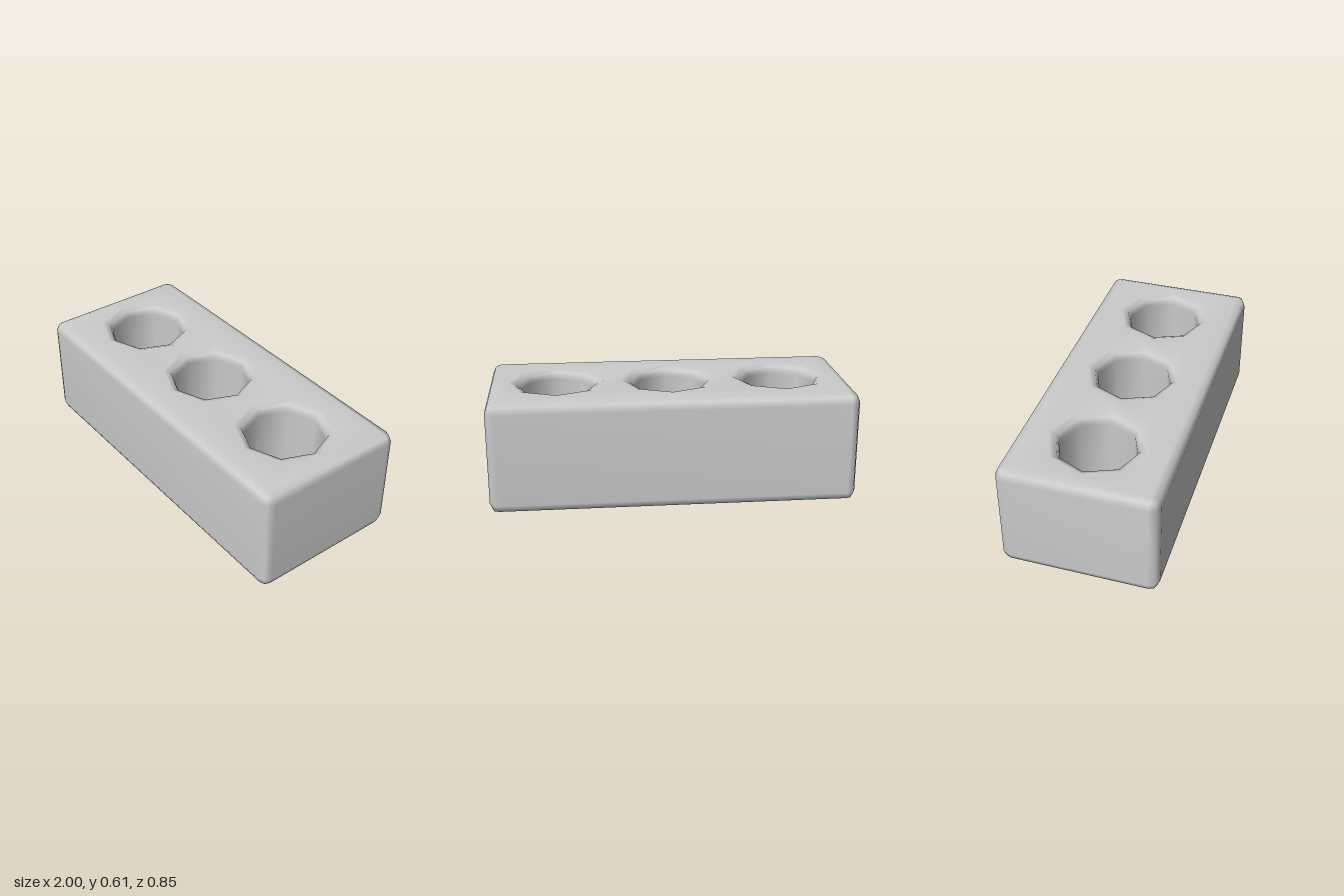
import * as THREE from 'three';
import { mergeVertices } from 'three/addons/utils/BufferGeometryUtils.js';

const HALF_W = 1, HALF_D = 0.427, HEIGHT = 0.612;
const BEVEL = 0.052, SEGMENTS = 2;
const HOLE_RADIUS = 0.213, HOLE_SIDES = 8, HOLE_X = [-0.625, 0, 0.625];

// Heights and bevel widths of the cross-sections, bottom to top
function levels() {
  const half = [];
  for (let i = 0; i <= SEGMENTS; i++) {
    const t = (i / SEGMENTS) * Math.PI / 2;
    half.push({ y: BEVEL * (1 - Math.cos(t)), grow: BEVEL * Math.sin(t) });
  }
  return [...half, ...half.map(l => ({ y: HEIGHT - l.y, grow: l.grow })).reverse()];
}

// Rectangle in x/z with corners rounded by the given radius
function outline(radius) {
  const points = [];
  const corners = [[1, 1], [-1, 1], [-1, -1], [1, -1]];
  corners.forEach(([sx, sz], c) => {
    for (let i = 0; i <= SEGMENTS; i++) {
      const a = (c + i / SEGMENTS) * Math.PI / 2;
      points.push(new THREE.Vector2(
        sx * (HALF_W - BEVEL) + radius * Math.cos(a),
        sz * (HALF_D - BEVEL) + radius * Math.sin(a)));
    }
  });
  return points;
}

// Octagonal hole, narrowing as the rim bevel grows
function holeOutline(x, grow) {
  const r = HOLE_RADIUS + BEVEL - grow;
  return Array.from({ length: HOLE_SIDES }, (_, i) => {
    const a = (i / HOLE_SIDES) * Math.PI * 2;
    return new THREE.Vector2(x + r * Math.cos(a), r * Math.sin(a));
  });
}

function blockGeometry() {
  const positions = [];
  const triangle = (...corners) => corners.forEach(([p, y]) => positions.push(p.x, y, p.y));
  const sections = levels();

  // Walls between neighbouring cross-sections
  const loft = (ringAt, inward) => {
    for (let s = 0; s < sections.length - 1; s++) {
      const y0 = sections[s].y, y1 = sections[s + 1].y;
      const low = ringAt(sections[s].grow), high = ringAt(sections[s + 1].grow);
      low.forEach((p, i) => {
        const j = (i + 1) % low.length;
        const a = [p, y0], b = [low[j], y0], c = [high[j], y1], d = [high[i], y1];
        if (inward) { triangle(a, b, c); triangle(a, c, d); }
        else { triangle(a, d, c); triangle(a, c, b); }
      });
    }
  };
  loft(outline, false);
  HOLE_X.forEach(x => loft(grow => holeOutline(x, grow), true));

  // Pierced top and bottom faces
  const contour = [0, 1, 2, 3].map(c => outline(0)[c * (SEGMENTS + 1)]);
  const holes = HOLE_X.map(x => holeOutline(x, 0).reverse());
  const points = [contour, ...holes].flat();
  for (const face of THREE.ShapeUtils.triangulateShape(contour, holes)) {
    let [a, b, c] = face.map(i => points[i]);
    if (THREE.ShapeUtils.area([a, b, c]) < 0) [b, c] = [c, b];
    triangle([a, 0], [b, 0], [c, 0]);
    triangle([a, HEIGHT], [c, HEIGHT], [b, HEIGHT]);
  }

  // Shared vertices give the soft, smooth shading
  let geometry = new THREE.BufferGeometry();
  geometry.setAttribute('position', new THREE.Float32BufferAttribute(positions, 3));
  geometry = mergeVertices(geometry);
  geometry.computeVertexNormals();
  return geometry;
}

export function createModel() {
  const group = new THREE.Group();
  group.name = 'brick';
  const block = new THREE.Mesh(
    blockGeometry(), new THREE.MeshStandardMaterial({ color: 0xcccccc }));
  block.name = 'piercedBlock';
  group.add(block);
  return group;
}
